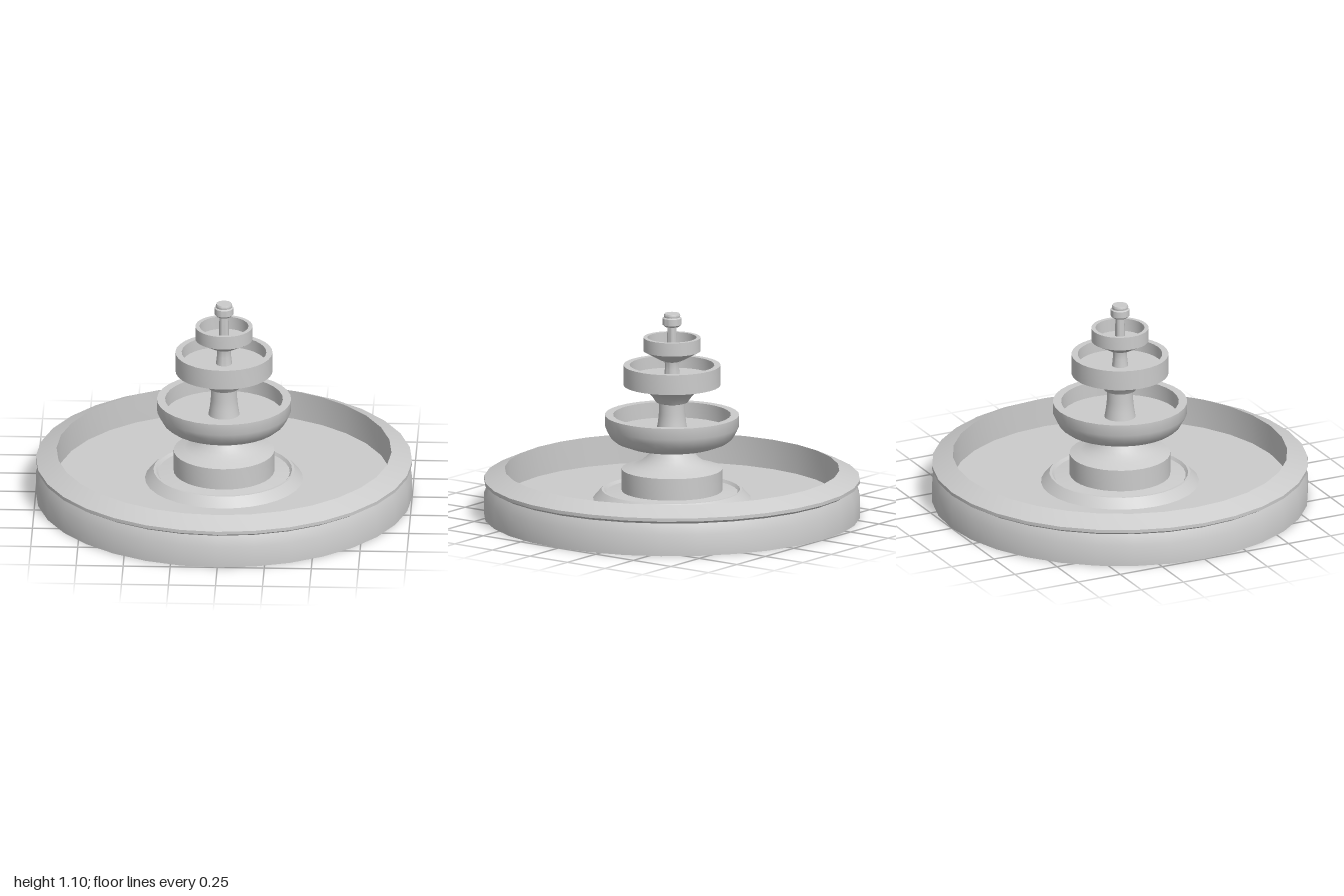
import * as THREE from 'three';
import { toCreasedNormals } from 'three/addons/utils/BufferGeometryUtils.js';

const SIDES = 32;

export function createModel() {
  const group = new THREE.Group();
  group.name = 'tieredFountain';
  const material = new THREE.MeshStandardMaterial({ color: 0xcccccc, side: THREE.DoubleSide });

  // Turns a profile of [radius, height] points, listed from the underside outwards and up
  const turn = (name, profile) => {
    const points = profile.map(([r, y]) => new THREE.Vector2(r, y));
    const geometry = toCreasedNormals(new THREE.LatheGeometry(points, SIDES), 0.6);
    const mesh = new THREE.Mesh(geometry, material);
    mesh.name = name;
    group.add(mesh);
  };

  // Wide pool: foot, undercut neck, sloping lip, inner wall and floor
  turn('poolBasin', [
    [0, 0], [1, 0], [1, 0.115], [0.975, 0.172], [0.985, 0.183],
    [1, 0.187], [1, 0.205], [0.89, 0.255], [0.89, 0.095], [0.42, 0.095],
  ]);

  // Raised ring with a groove around the pedestal
  turn('pedestalRing', [
    [0.42, 0.095], [0.375, 0.145], [0.362, 0.145], [0.35, 0.13], [0.268, 0.14],
  ]);

  // Drum that flares in to the first stem
  turn('pedestal', [
    [0.268, 0.14], [0.268, 0.257], [0.21, 0.275], [0.17, 0.292],
    [0.14, 0.317], [0.12, 0.34], [0.105, 0.362],
  ]);

  // Three bowls, each running from its stem out to the rim and back to its floor
  turn('lowerBowl', [
    [0.105, 0.362], [0.16, 0.367], [0.24, 0.385], [0.3, 0.408], [0.325, 0.428],
    [0.343, 0.46], [0.357, 0.49], [0.357, 0.55], [0.313, 0.55], [0.313, 0.465], [0.083, 0.465],
  ]);
  turn('middleBowl', [
    [0.07, 0.615], [0.085, 0.62], [0.105, 0.65], [0.13, 0.675], [0.165, 0.692],
    [0.21, 0.702], [0.258, 0.712], [0.258, 0.82], [0.225, 0.82], [0.225, 0.755], [0.043, 0.755],
  ]);
  turn('upperBowl', [
    [0.04, 0.84], [0.065, 0.85], [0.1, 0.87], [0.152, 0.898],
    [0.152, 0.97], [0.13, 0.97], [0.13, 0.9], [0.026, 0.9],
  ]);

  // Stems between the bowls
  turn('lowerStem', [[0.083, 0.465], [0.075, 0.51], [0.07, 0.56], [0.07, 0.615]]);
  turn('middleStem', [[0.043, 0.755], [0.038, 0.8], [0.038, 0.825], [0.04, 0.84]]);
  turn('upperStem', [[0.026, 0.9], [0.025, 1.03]]);

  // Spout cap
  turn('finial', [
    [0.025, 1.03], [0.04, 1.03], [0.05, 1.04], [0.05, 1.075], [0.042, 1.08],
    [0.044, 1.09], [0.04, 1.1], [0, 1.1],
  ]);

  return group;
}
